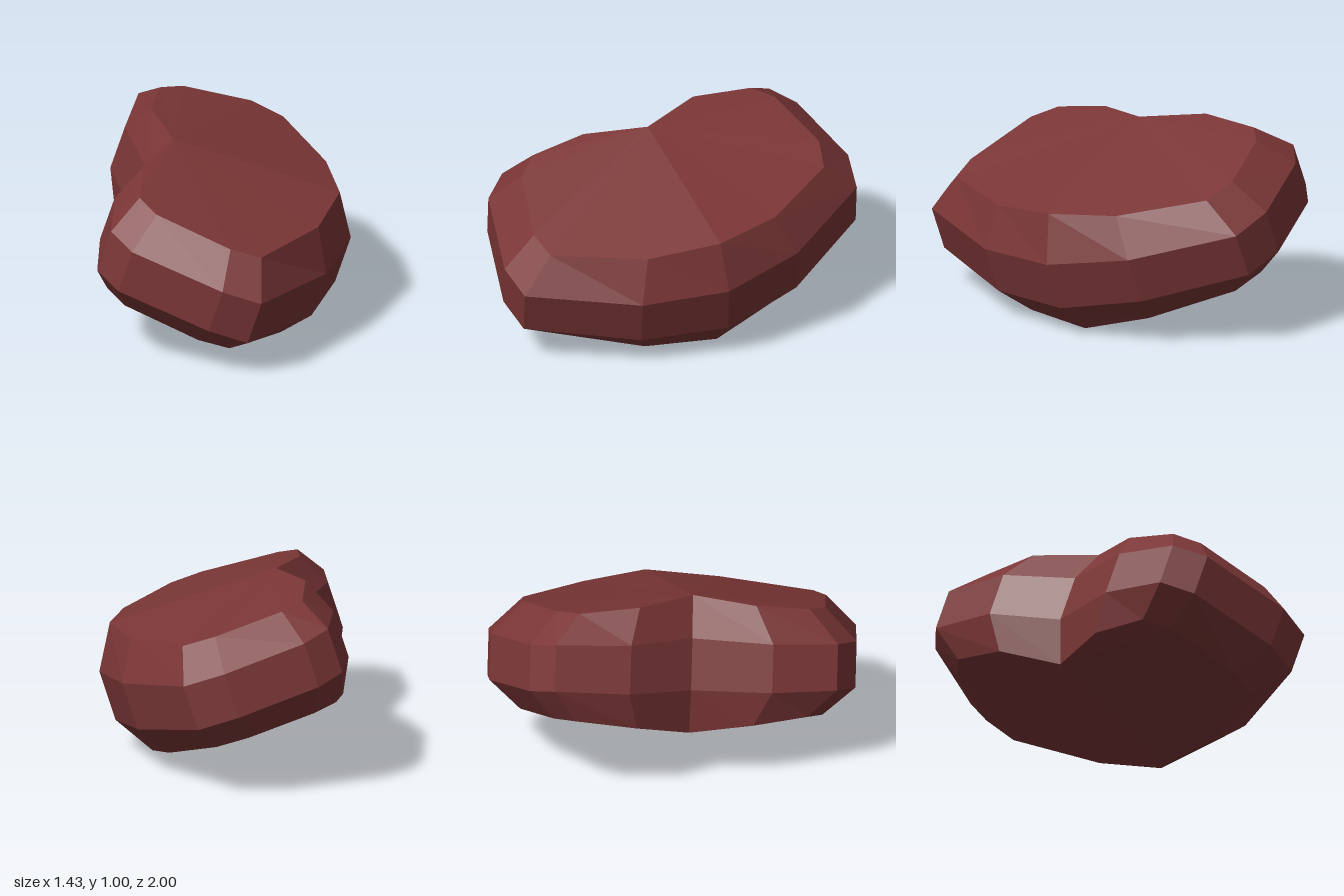
import * as THREE from 'three';

// Rim of the top face and the wider ring below it, as [x, y, z] loops
const topRim = [
  [-0.01, 0.97, -0.76], [0.35, 0.865, -0.75], [0.50, 0.80, -0.66], [0.64, 0.71, -0.21],
  [0.64, 0.68, 0.16], [0.46, 0.63, 0.50], [0.09, 0.62, 0.85], [-0.07, 0.67, 0.83],
  [-0.42, 0.81, 0.62], [-0.485, 0.86, 0.49], [-0.41, 0.92, 0.21], [-0.20, 0.96, -0.05],
  [-0.25, 1.0, -0.40], [-0.14, 0.995, -0.70],
];
const upperRing = [
  [-0.07, 0.85, -0.955], [0.36, 0.72, -0.94], [0.55, 0.64, -0.84], [0.715, 0.50, -0.30],
  [0.70, 0.42, 0.15], [0.49, 0.39, 0.56], [0.06, 0.42, 1.0], [-0.14, 0.49, 0.97],
  [-0.57, 0.65, 0.72], [-0.65, 0.71, 0.56], [-0.565, 0.76, 0.22], [-0.33, 0.785, -0.13],
  [-0.365, 0.86, -0.52], [-0.22, 0.895, -0.89],
];
const count = topRim.length;
const notch = 11; // inner corner of the bean, which sees every other rim corner

// Moves a point down along the tilted axis of the bean
const sink = ([x, y, z], depth) => [x - 0.28 * depth, y - depth, z - 0.2 * depth];

// Extra depth at the fold that crosses the underside from the notch
const bulge = { 3: 0.07, 4: 0.143, 5: 0.085, 10: 0.06, 11: 0.15, 12: 0.065 };

function beanGeometry() {
  const lowerRing = upperRing.map((p, i) => sink(p, 0.23 + 0.19 * (bulge[i] || 0)));
  const bottomRim = topRim.map((p, i) => sink(p, 0.535 + (bulge[i] || 0)));
  const rings = [topRim, upperRing, lowerRing, bottomRim];
  const positions = [];
  const tri = (a, b, c) => positions.push(...a, ...b, ...c);

  // Side bands
  for (let r = 0; r < 3; r++) {
    for (let i = 0; i < count; i++) {
      const j = (i + 1) % count;
      const a = rings[r], b = rings[r + 1];
      tri(a[j], b[j], b[i]);
      tri(a[j], b[i], a[i]);
    }
  }
  // Top and bottom faces, fanned from the notch
  for (let k = 1; k < count - 1; k++) {
    const i = (notch + k) % count, j = (notch + k + 1) % count;
    tri(topRim[notch], topRim[j], topRim[i]);
    tri(bottomRim[notch], bottomRim[i], bottomRim[j]);
  }
  const geometry = new THREE.BufferGeometry();
  geometry.setAttribute('position', new THREE.Float32BufferAttribute(positions, 3));
  geometry.computeVertexNormals(); // unshared corners give flat faces
  return geometry;
}

export function createModel() {
  const group = new THREE.Group();
  group.name = 'bean';
  const beanRed = new THREE.MeshStandardMaterial({ color: 0x7b3636 });
  beanRed.name = 'bean red';
  const body = new THREE.Mesh(beanGeometry(), beanRed);
  body.name = 'beanBody';
  group.add(body);
  return group;
}
